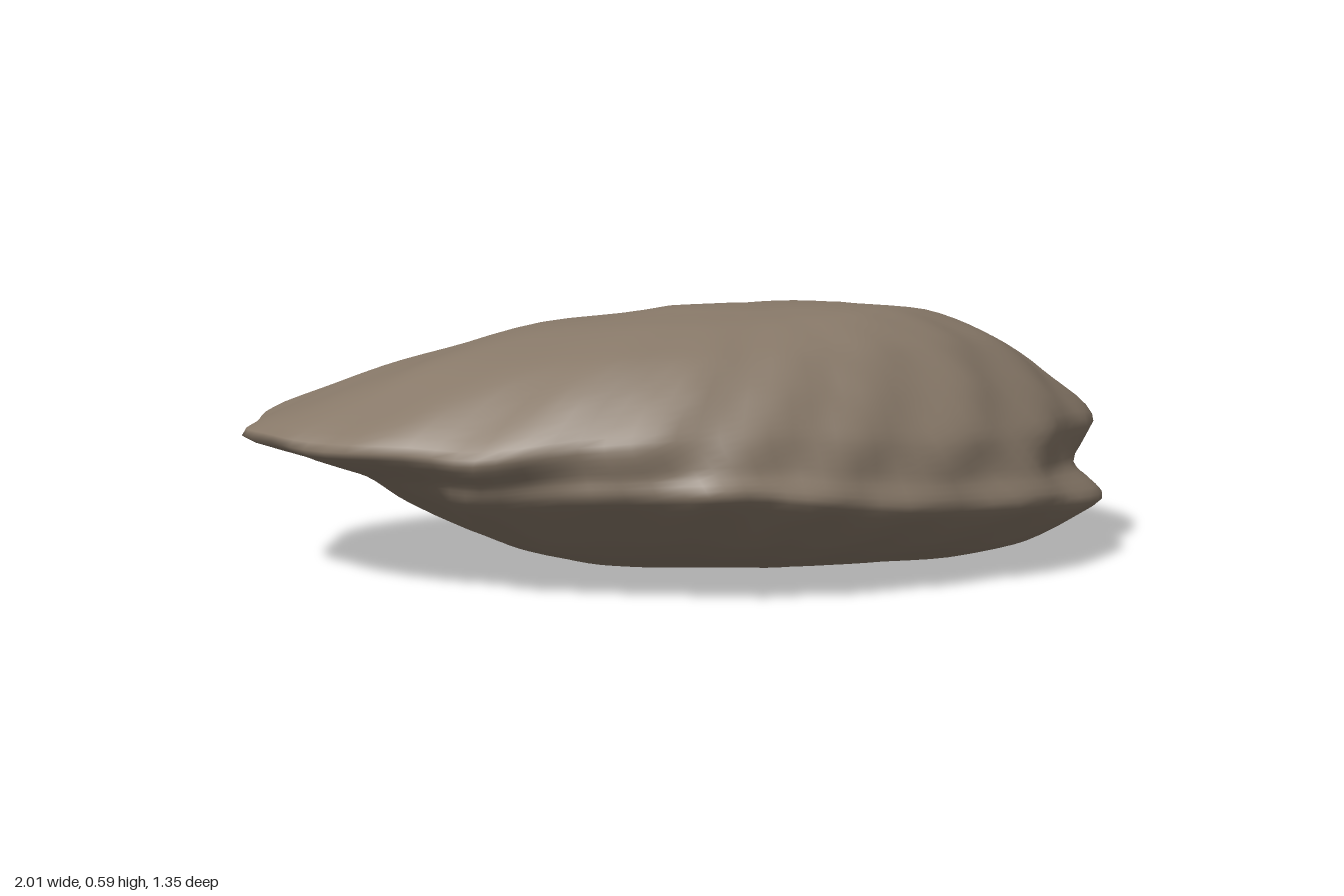
import * as THREE from 'three';

const v = (x, y, z) => new THREE.Vector3(x, y, z);
const crown = v(0.18, 0.59, 0.16);
const foot = v(0.25, 0, 0.05);
const COLS = 104, STEPS = 5;

// Rim of the upper slab, from the right-hand tip round past the front
const upperRim = [
  v(1, .26, -.12), v(.9, .31, .17), v(.63, .32, .45), v(.27, .35, .58), v(-.12, .36, .63),
  v(-.53, .32, .56), v(-.91, .31, .29), v(-1, .31, .03), v(-.89, .33, -.22),
  v(-.5, .37, -.42), v(-.12, .4, -.51), v(.35, .39, -.5), v(.74, .37, -.36),
];

// Rim of the lower bulge and back ledge, point for point below the upper one
const lowerRim = [
  v(.92, .17, -.1), v(.96, .13, .15), v(.76, .15, .42), v(.28, .2, .62), v(-.05, .23, .665),
  v(-.5, .2, .49), v(-.63, .17, .22), v(-.66, .17, 0), v(-.6, .19, -.2),
  v(-.42, .19, -.36), v(-.12, .2, -.5), v(.25, .22, -.67), v(.76, .23, -.41),
];

// Smooth closed ring through a rim
function ringOf(rim) {
  const curve = new THREE.CatmullRomCurve3(rim, true, 'catmullrom', 0.4);
  return Array.from({ length: COLS }, (_, c) => curve.getPoint(c / COLS));
}

// Draws a ring in to width f towards a pole; a higher power makes a steeper side
function shrink(ring, pole, f, power) {
  return ring.map((p) => {
    const q = pole.clone().lerp(p, f);
    q.y = pole.y + (p.y - pole.y) * f ** power(p);
    return q;
  });
}

// The top is steep at the front and right and slopes gently to the back
const topPower = (p) => 2.2 + 1.3 * p.z + 0.8 * Math.max(0, p.x);
// The underside is flat towards the ends and rises evenly to the back
const basePower = (p) => 3 + 2 * Math.min(0, p.z) + 2 * p.x * p.x;

// Gentle lumps and worn chips
function weather(p) {
  const a = Math.atan2(p.z, p.x), edge = Math.min(1, Math.hypot(p.x, p.z) / 0.6);
  const k = 1 + edge * (0.008 * Math.sin(a * 17 + p.y * 22) + 0.004 * Math.sin(a * 29 - p.y * 35));
  const lump = 0.006 * Math.sin(p.x * 9 + 1) * Math.sin(p.z * 11 + p.x * 4) * Math.min(1, p.y * 8);
  return v(p.x * k, Math.max(0, p.y + lump), p.z * k);
}

function rockGeometry() {
  const low = ringOf(lowerRim), high = ringOf(upperRim);
  // Groove between the two rims, cut in only at the ends
  const groove = low.map((p, c) => {
    const q = p.clone().lerp(high[c], 0.45);
    q.x *= 1 - 0.08 * Math.max(0, 1 - 2 * Math.abs(q.z));
    return q;
  });
  const rings = [
    ...[0.2, 0.4, 0.6, 0.8].map((f) => shrink(low, foot, f, basePower)),
    low, groove, high,
    ...[0.86, 0.68, 0.45, 0.2].map((f) => shrink(high, crown, f, topPower)),
  ];

  // Smooth upright curve through the rings in every column
  const columns = Array.from({ length: COLS }, (_, c) =>
    new THREE.CatmullRomCurve3(rings.map((ring) => ring[c]), false, 'catmullrom', 0.4));
  const rows = (rings.length - 1) * STEPS + 1;
  const points = [];
  for (let r = 0; r < rows; r++) {
    for (const column of columns) points.push(weather(column.getPoint(r / (rows - 1))));
  }
  const bottom = points.length, top = bottom + 1;
  points.push(foot, crown);

  const index = [];
  const last = (rows - 1) * COLS;
  for (let c = 0; c < COLS; c++) {
    const n = (c + 1) % COLS;
    for (let r = 0; r < last; r += COLS) {
      index.push(r + c, r + c + COLS, r + n, r + n, r + c + COLS, r + n + COLS);
    }
    index.push(bottom, c, n, top, last + n, last + c);
  }

  const geometry = new THREE.BufferGeometry().setFromPoints(points);
  geometry.setIndex(index);
  geometry.computeVertexNormals();
  return geometry;
}

export function createModel() {
  const stone = new THREE.MeshStandardMaterial({ color: 0x877868 });
  stone.name = 'brown stone';
  const rock = new THREE.Mesh(rockGeometry(), stone);
  rock.name = 'rock';
  const group = new THREE.Group();
  group.name = 'flatRock';
  group.add(rock);
  return group;
}
